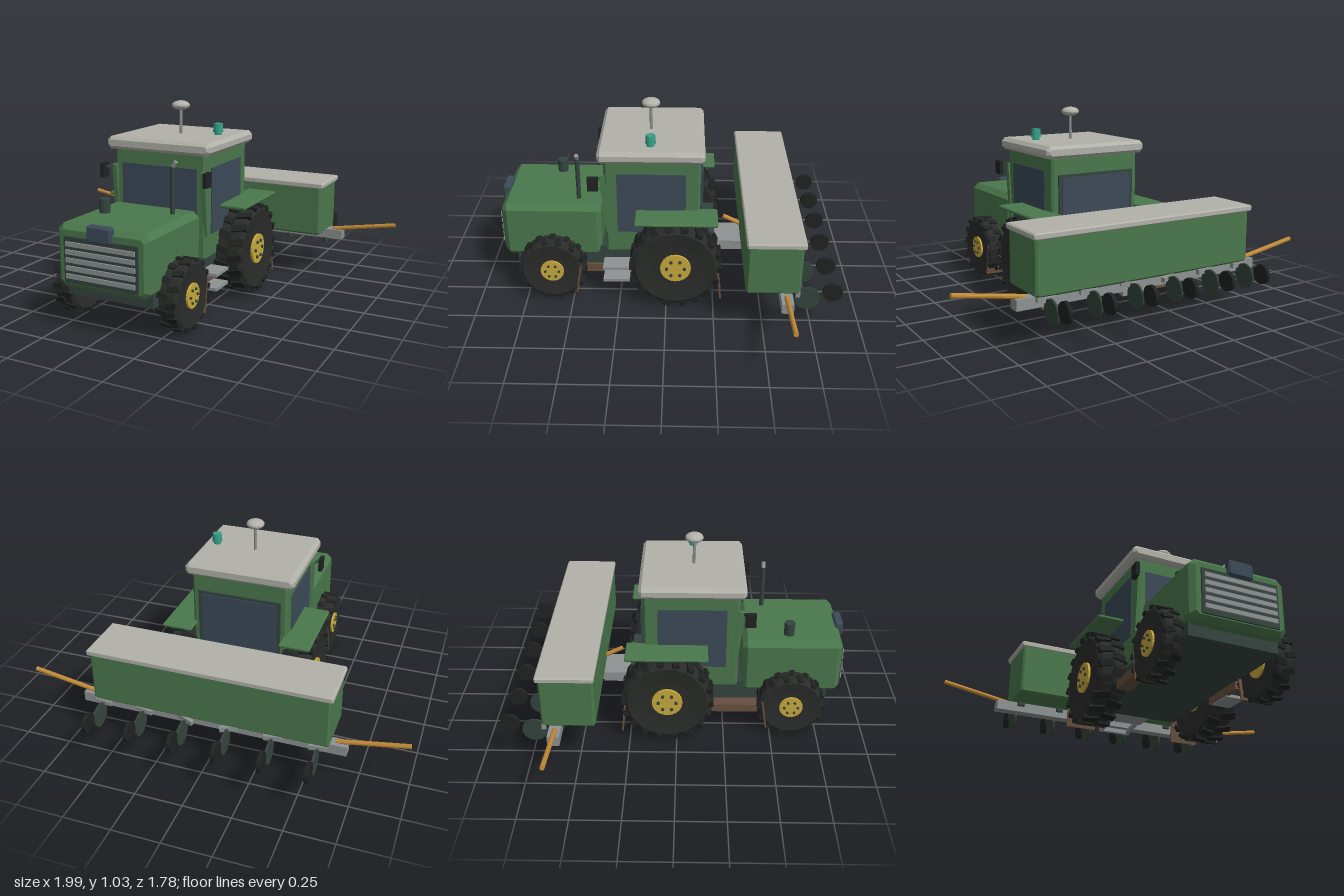
import * as THREE from 'three';

const paint = (color) => new THREE.MeshStandardMaterial({ color, flatShading: true });
const M = {
  green: paint(0x4a784c), dark: paint(0x34443f), roof: paint(0xb2b2aa), glass: paint(0x3c4a58),
  rubber: paint(0x2a2c2a), gold: paint(0xc9a93c), grey: paint(0x8e9292), black: paint(0x1f2322),
  brown: paint(0x67503f), orange: paint(0xc08a38), teal: paint(0x35a088), disc: paint(0x35443c),
};

function add(parent, name, geo, mat, x = 0, y = 0, z = 0) {
  const mesh = new THREE.Mesh(geo, mat);
  mesh.name = name;
  mesh.position.set(x, y, z);
  parent.add(mesh);
  return mesh;
}

// Box given by its limits, optionally with every edge chamfered by c
function block(parent, name, mat, [x0, x1], [y0, y1], [z0, z1], c = 0) {
  const w = x1 - x0, h = y1 - y0, d = z1 - z0;
  let geo = new THREE.BoxGeometry(w, h, d);
  if (c) {
    const a = w / 2 - c, b = h / 2 - c, k = c * 0.6;
    const s = new THREE.Shape([
      [-a + k, -b], [a - k, -b], [a, -b + k], [a, b - k],
      [a - k, b], [-a + k, b], [-a, b - k], [-a, -b + k],
    ].map((p) => new THREE.Vector2(...p)));
    geo = new THREE.ExtrudeGeometry(s, {
      depth: d - 2 * c, bevelEnabled: true, bevelThickness: c, bevelSize: c, bevelSegments: 1,
    }).translate(0, 0, c - d / 2);
  }
  return add(parent, name, geo, mat, (x0 + x1) / 2, (y0 + y1) / 2, (z0 + z1) / 2);
}

// Bar between two points: round when sides > 0, otherwise a w by h box
function bar(parent, name, mat, from, to, w, h = w, sides = 0) {
  const a = new THREE.Vector3(...from), b = new THREE.Vector3(...to);
  const len = a.distanceTo(b);
  const geo = sides ? new THREE.CylinderGeometry(w, w, len, sides).rotateX(Math.PI / 2)
    : new THREE.BoxGeometry(w, h, len);
  const mesh = add(parent, name, geo, mat);
  mesh.position.copy(a).add(b).multiplyScalar(0.5);
  mesh.lookAt(b);
  return mesh;
}

const wheelDisc = (r, w, sides) => new THREE.CylinderGeometry(r, r, w, sides).rotateZ(Math.PI / 2);

// Wheel with bevelled tyre, staggered lugs, hub and bolts; outside faces +x
function wheel(name, r, w, hubR, lugs) {
  const g = new THREE.Group();
  g.name = name;
  const h = w / 2, R = r * 0.965;
  const profile = [[0, -h * 0.8], [R * 0.55, -h * 0.85], [R * 0.9, -h], [R, -h * 0.75],
    [R, h * 0.75], [R * 0.9, h], [R * 0.55, h * 0.85], [0, h * 0.8]];
  add(g, 'tyre', new THREE.LatheGeometry(profile.map((p) => new THREE.Vector2(...p)), 28)
    .rotateZ(-Math.PI / 2), M.rubber);
  for (let i = 0; i < lugs * 2; i++) {
    const t = (i / lugs) * Math.PI, s = i % 2 ? 1 : -1;
    const lug = add(g, 'lug', new THREE.BoxGeometry(w * 0.52, r * 0.1, r * 0.15), M.black,
      s * w * 0.25, Math.cos(t) * r * 0.955, Math.sin(t) * r * 0.955);
    lug.rotation.set(t, s * 0.22, 0);
  }
  add(g, 'hub', wheelDisc(hubR, w * 0.92 + 0.012, 20), M.gold);
  for (let i = 0; i < 6; i++) {
    const t = (i / 6) * Math.PI * 2;
    add(g, 'bolt', wheelDisc(hubR * 0.11, 0.012, 8), M.dark, h * 0.92 + 0.008,
      Math.sin(t) * hubR * 0.58, Math.cos(t) * hubR * 0.58);
  }
  return g;
}

function buildTractor() {
  const g = new THREE.Group();
  g.name = 'tractor';
  block(g, 'chassis', M.dark, [-0.235, 0.235], [0.165, 0.28], [-0.26, 0.8]);

  // Hood, grille and lamp
  block(g, 'hood', M.green, [-0.25, 0.25], [0.22, 0.53], [0.345, 0.865], 0.025);
  block(g, 'grille', M.dark, [-0.2, 0.2], [0.25, 0.475], [0.84, 0.874]);
  for (let i = 0; i < 5; i++) {
    const y = 0.285 + i * 0.039;
    block(g, 'grilleSlat', M.grey, [-0.187, 0.187], [y - 0.011, y + 0.011], [0.865, 0.883]);
  }
  block(g, 'noseLamp', M.glass, [-0.065, 0.065], [0.465, 0.545], [0.845, 0.89], 0.008);

  // Exhaust and air intake
  bar(g, 'exhaust', M.dark, [0.155, 0.52, 0.465], [0.155, 0.765, 0.465], 0.012, 0, 10);
  bar(g, 'exhaustTip', M.grey, [0.153, 0.757, 0.465], [0.174, 0.79, 0.465], 0.011, 0, 10);
  add(g, 'airIntake', new THREE.CylinderGeometry(0.028, 0.028, 0.08, 14), M.dark, -0.155, 0.56, 0.59);

  // Cab with glass on all four sides
  block(g, 'cab', M.green, [-0.26, 0.26], [0.26, 0.81], [-0.175, 0.32], 0.012);
  block(g, 'windshield', M.glass, [-0.215, 0.215], [0.45, 0.73], [0.3, 0.326]);
  block(g, 'rearFrame', M.dark, [-0.225, 0.225], [0.375, 0.715], [-0.185, -0.16]);
  block(g, 'rearWindow', M.glass, [-0.205, 0.205], [0.395, 0.7], [-0.19, -0.17]);
  block(g, 'roof', M.roof, [-0.295, 0.295], [0.8, 0.865], [-0.195, 0.35], 0.016);

  // Roof antenna and beacon
  bar(g, 'antennaMast', M.grey, [0, 0.86, 0.085], [0, 1, 0.085], 0.008, 0, 8);
  const dome = add(g, 'antennaDome', new THREE.SphereGeometry(0.048, 16, 10), M.roof, 0, 1.013, 0.085);
  dome.scale.y = 0.52;
  add(g, 'beaconBase', new THREE.CylinderGeometry(0.02, 0.02, 0.02, 14), M.teal, 0.215, 0.882, 0.08);
  add(g, 'beacon', new THREE.CylinderGeometry(0.024, 0.027, 0.044, 14), M.teal, 0.215, 0.908, 0.08);

  for (const s of [-1, 1]) {
    const span = (a, b) => (s > 0 ? [a, b] : [-b, -a]);
    block(g, 'sideWindow', M.glass, span(0.25, 0.265), [0.39, 0.73], [-0.1, 0.255]);
    bar(g, 'frontPillar', M.green, [s * 0.255, 0.39, 0.298], [s * 0.255, 0.72, 0.33], 0.025, 0.03);
    bar(g, 'mirrorArm', M.dark, [s * 0.25, 0.71, 0.33], [s * 0.3, 0.71, 0.375], 0.012);
    block(g, 'mirror', M.black, span(0.285, 0.305), [0.655, 0.73], [0.345, 0.4]);
    block(g, 'fender', M.green, span(0.24, 0.405), [0.505, 0.523], [-0.265, 0.16], 0.005);

    // Wheels and the flaps behind them
    const rear = wheel('rearWheel', 0.24, 0.152, 0.08, 18);
    rear.position.set(s * 0.322, 0.25, -0.05);
    const front = wheel('frontWheel', 0.178, 0.1, 0.062, 14);
    front.position.set(s * 0.29, 0.185, 0.605);
    for (const w of [rear, front]) {
      if (s < 0) w.rotation.y = Math.PI;
      g.add(w);
    }
    bar(g, 'rearAxle', M.dark, [0, 0.25, -0.05], [s * 0.3, 0.25, -0.05], 0.035, 0, 10);
    bar(g, 'frontAxle', M.dark, [0, 0.19, 0.605], [s * 0.27, 0.19, 0.605], 0.025, 0, 10);
    bar(g, 'frontFlap', M.brown, [s * 0.283, 0.22, 0.452], [s * 0.283, 0.05, 0.478], 0.115, 0.01);
    bar(g, 'rearFlap', M.brown, [s * 0.31, 0.22, -0.272], [s * 0.31, 0.06, -0.288], 0.16, 0.01);
  }

  // Tank on the right flank, access steps on the left
  block(g, 'sideTank', M.brown, [-0.3, -0.225], [0.125, 0.17], [0.17, 0.43]);
  for (const y of [0.2, 0.125]) {
    block(g, 'step', M.grey, [0.23, 0.333], [y - 0.008, y + 0.008], [0.195, 0.335]);
  }
  block(g, 'stepBracket', M.brown, [0.225, 0.25], [0.125, 0.17], [0.17, 0.43]);

  // Hitch
  block(g, 'hitchBlock', M.grey, [-0.095, 0.095], [0.175, 0.23], [-0.41, -0.25]);
  for (const s of [-1, 1]) {
    bar(g, 'lowerLink', M.grey, [s * 0.08, 0.21, -0.29], [s * 0.08, 0.17, -0.57], 0.02, 0.022);
  }
  block(g, 'linkCrossbar', M.grey, [-0.09, 0.09], [0.16, 0.185], [-0.575, -0.55]);
  bar(g, 'topLink', M.orange, [0, 0.335, -0.31], [0, 0.225, -0.53], 0.012, 0, 10);
  return g;
}

function buildPlanter() {
  const g = new THREE.Group();
  g.name = 'planter';
  block(g, 'hopper', M.green, [-0.62, 0.62], [0.26, 0.54], [-0.67, -0.4], 0.01);
  block(g, 'hopperLid', M.roof, [-0.632, 0.632], [0.528, 0.56], [-0.682, -0.395], 0.006);
  block(g, 'toolbar', M.grey, [-0.7, 0.7], [0.205, 0.258], [-0.632, -0.572]);
  for (const s of [-1, 1]) {
    bar(g, 'markerArm', M.orange, [s * 0.64, 0.258, -0.6], [s * 0.995, 0.32, -0.6], 0.012, 0, 10);
  }

  // Six row units, each an opener disc and a closing wheel
  for (let i = 0; i < 6; i++) {
    const x = (i - 2.5) * 0.227;
    const row = new THREE.Group();
    row.name = 'rowUnit';
    row.position.x = x;
    g.add(row);
    bar(row, 'rowArm', M.grey, [0, 0.265, -0.62], [0, 0.235, -0.705], 0.022, 0.025);
    bar(row, 'frontBracket', M.dark, [0, 0.232, -0.55], [0, 0.26, -0.575], 0.016, 0.02);
    add(row, 'openerDisc', wheelDisc(0.064, 0.01, 18), M.disc, 0, 0.202, -0.715);
    add(row, 'closingWheel', wheelDisc(0.05, 0.02, 16), M.black, 0, 0.24, -0.838);
  }
  return g;
}

export function createModel() {
  const model = new THREE.Group();
  model.name = 'tractorWithPlanter';
  model.add(buildTractor(), buildPlanter());
  return model;
}
